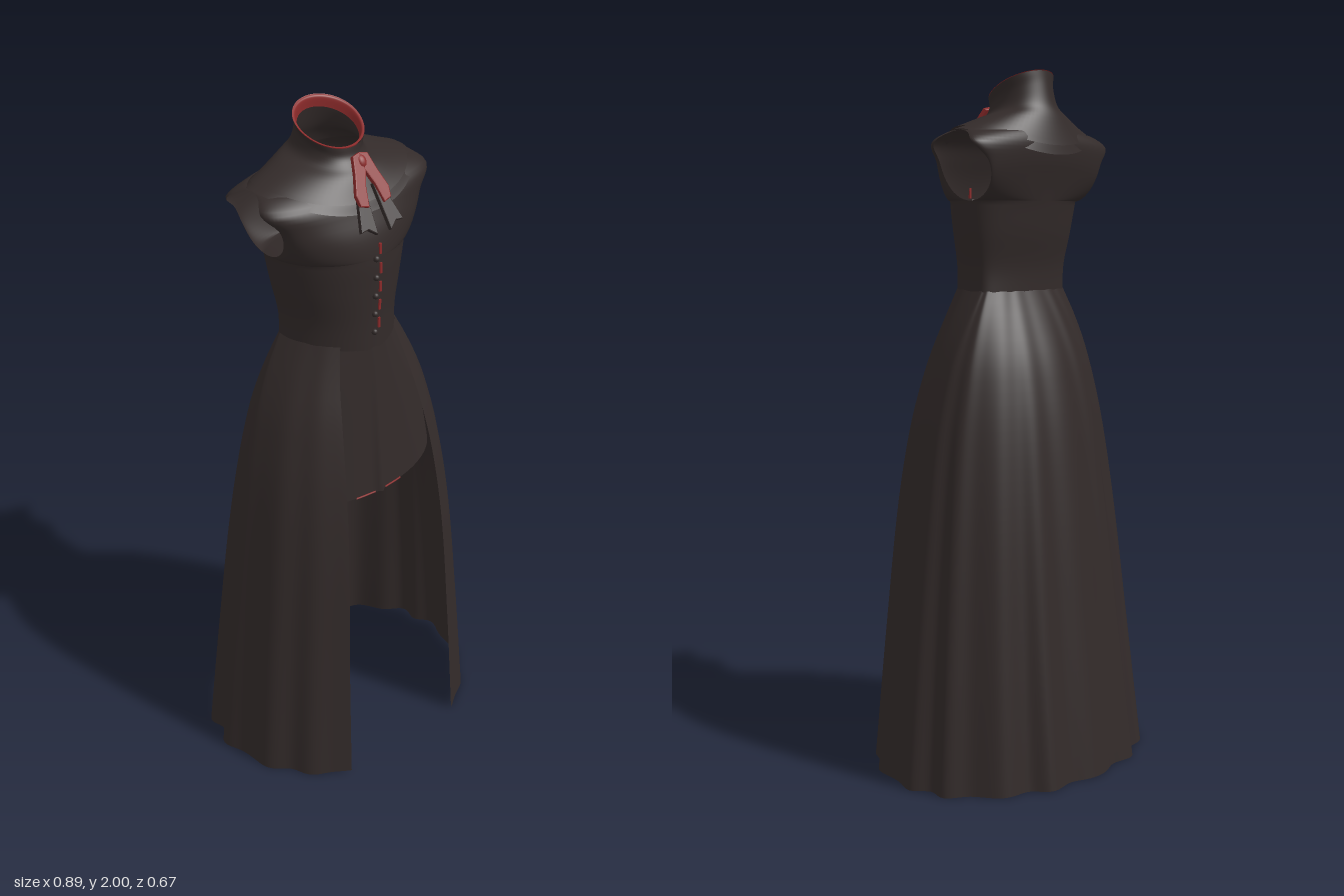
import * as THREE from 'three';
import { mergeVertices } from 'three/addons/utils/BufferGeometryUtils.js';

const cloth = new THREE.MeshStandardMaterial({ color: 0x322a29, side: THREE.DoubleSide });
cloth.name = 'dark cloth';
const red = new THREE.MeshStandardMaterial({ color: 0x8a2a2a, side: THREE.DoubleSide });
red.name = 'red trim';

// Smooth sheet through a grid of points given by fn(u, v)
function sheet(name, nu, nv, fn, mat) {
  const pos = [], idx = [];
  for (let j = 0; j <= nv; j++)
    for (let i = 0; i <= nu; i++) pos.push(...fn(i / nu, j / nv));
  for (let j = 0; j < nv; j++)
    for (let i = 0; i < nu; i++) {
      const a = j * (nu + 1) + i, b = a + 1, c = a + nu + 1, d = c + 1;
      idx.push(a, b, d, a, d, c);
    }
  let g = new THREE.BufferGeometry();
  g.setAttribute('position', new THREE.Float32BufferAttribute(pos, 3));
  g.setIndex(idx);
  g = mergeVertices(g, 1e-5);
  g.computeVertexNormals();
  const m = new THREE.Mesh(g, mat);
  m.name = name;
  return m;
}

// Smooth interpolation of rows [key, value, value, ...]
function profile(rows) {
  const n = rows[0].length - 1;
  const f = new THREE.CubicInterpolant(
    rows.map(r => r[0]), rows.flatMap(r => r.slice(1)), n, new Float32Array(n));
  return k => Array.from(f.evaluate(k));
}

// Oval cross-section, angle 0 at the front; front and back depths differ
function oval(a, rx, zf, zb, cz) {
  const c = Math.cos(a);
  return [rx * Math.sin(a), cz + c * (c > 0 ? zf - cz : cz - zb)];
}

// y, half width, front z, back z, centre z, angle of the front edge
const skirtAt = profile([
  [0, 0.436, 0.385, -0.328, 0, 0.51],
  [0.4, 0.396, 0.355, -0.28, 0, 0.525],
  [0.8, 0.348, 0.32, -0.235, 0, 0.535],
  [1.0, 0.315, 0.285, -0.207, 0, 0.54],
  [1.1, 0.292, 0.26, -0.187, -0.005, 0.545],
  [1.2, 0.263, 0.23, -0.16, -0.012, 0.55],
  [1.3, 0.22, 0.197, -0.12, -0.022, 0.57],
  [1.39, 0.17, 0.172, -0.077, -0.03, 0.6]]);

// y, half width, front z, back z
const bodiceAt = profile([
  [1.36, 0.172, 0.17, -0.078],
  [1.45, 0.172, 0.169, -0.082],
  [1.55, 0.193, 0.171, -0.105],
  [1.64, 0.21, 0.171, -0.122],
  [1.7, 0.22, 0.161, -0.137],
  [1.75, 0.238, 0.142, -0.151],
  [1.8, 0.279, 0.118, -0.156],
  [1.83, 0.25, 0.088, -0.15]]);

// Front or back half of the bodice; its side edge follows the round armhole
function bodiceHalf(name, front) {
  return sheet(name, 40, 44, (u, v) => {
    const k = (v - 0.5) * 2 * Math.PI;
    const y = v < 0.5 ? 1.36 + 0.56 * v : 1.735 - 0.095 * Math.cos(k);
    const gap = v < 0.5 ? 0 : 0.095 * Math.sin(k);
    const [rx, zf, zb] = bodiceAt(y);
    const a = (u - 0.5) * Math.PI;
    const edge = -0.03 + (front ? gap : -gap);
    const end = front ? zf : zb;
    return [rx * Math.sin(a), y, edge + (end - edge) * Math.cos(a)];
  }, cloth);
}

// Tilted collar rings: key, y, half width, front z, back z, tilt, dip at front and back
function collar(name, rows, mat) {
  const at = profile(rows);
  return sheet(name, 72, 20, (u, v) => {
    const [y, rx, zf, zb, tilt, dip] = at(v * (rows.length - 1));
    const a = (u - 0.5) * 2 * Math.PI;
    const [x, z] = oval(a, rx, zf, zb, -0.03);
    return [x, y - tilt * (z + 0.03) - dip * Math.cos(a) ** 2, z];
  }, mat);
}

// Thin flat ribbon cut from an outline
function ribbon(name, pts, mat, z) {
  const s = new THREE.Shape(pts.map(p => new THREE.Vector2(...p)));
  const g = new THREE.ExtrudeGeometry(s, {
    depth: 0.008, bevelEnabled: true, bevelSize: 0.003, bevelThickness: 0.003, bevelSegments: 2 });
  const m = new THREE.Mesh(g, mat);
  m.name = name;
  m.position.z = z;
  return m;
}

export function createModel() {
  const dress = new THREE.Group();
  dress.name = 'dress';

  // Long pleated skirt, open at the front
  dress.add(sheet('longSkirt', 192, 40, (u, v) => {
    const y = 1.39 * (1 - v);
    const [rx, zf, zb, cz, edge] = skirtAt(y);
    const a = edge + u * 2 * (Math.PI - edge);
    const fade = Math.sin(Math.PI * u) ** 0.5;
    const fold = 1 + (0.006 + 0.026 * v) * fade * (Math.cos(16 * a) + 0.3 * Math.cos(23 * a));
    const [x, z] = oval(a, rx, zf, zb, cz);
    return [x * fold, y, z * fold];
  }, cloth));

  // Short front panel under the skirt, with a slight ridge down the middle
  const panelPoint = (a, v) => {
    const y = 1.39 - 0.48 * v;
    const [rx] = skirtAt(y);
    const [x, z] = oval(a, rx * 0.975, 0.168 + 0.035 * v, -0.1, -0.03 * (1 - v));
    return [x, y, z + 0.014 * v * Math.exp(-((x / 0.012) ** 2))];
  };
  dress.add(sheet('frontPanel', 96, 20, (u, v) => panelPoint((u - 0.5) * Math.PI, v), cloth));

  // Red piping on the panel hem
  for (const s of [-1, 1]) {
    const path = new THREE.CatmullRomCurve3([0.06, 0.12, 0.18, 0.26].map(a =>
      new THREE.Vector3(...panelPoint(s * a, 1))));
    const hem = new THREE.Mesh(new THREE.TubeGeometry(path, 12, 0.003, 6), red);
    hem.name = 'hemPiping';
    dress.add(hem);
  }

  dress.add(bodiceHalf('bodiceFront', true), bodiceHalf('bodiceBack', false));

  // Standing neck flowing into the shoulder cape
  dress.add(collar('neckAndCape', [
    [0, 1.959, 0.098, 0.062, -0.112, 0.5, 0],
    [1, 1.928, 0.087, 0.068, -0.119, 0.4, 0],
    [2, 1.89, 0.1, 0.086, -0.131, 0.2, 0],
    [3, 1.872, 0.15, 0.108, -0.147, 0.1, 0.015],
    [4, 1.843, 0.235, 0.142, -0.167, 0, 0.05]], cloth));
  dress.add(collar('lowerCape', [
    [0, 1.862, 0.15, 0.1, -0.143, 0.1, 0.018],
    [1, 1.849, 0.2, 0.13, -0.158, 0.04, 0.04],
    [2, 1.833, 0.252, 0.152, -0.168, 0, 0.066]], cloth));
  dress.add(collar('neckLining', [
    [0, 1.961, 0.098, 0.062, -0.112, 0.5, 0],
    [1, 1.957, 0.09, 0.054, -0.105, 0.5, 0],
    [2, 1.935, 0.083, 0.05, -0.106, 0.45, 0]], red));

  // Bow at the throat: red loops over dark tails
  const bow = new THREE.Group();
  bow.name = 'bow';
  bow.position.set(0, 1.895, 0.085);
  bow.rotation.x = -0.55;
  for (const s of [-1, 1]) {
    const flip = pts => pts.map(([x, y]) => [s * x, y]);
    bow.add(ribbon('bowRibbon', flip([
      [0.002, 0.005], [0.022, 0], [0.034, -0.045], [0.052, -0.095], [0.048, -0.122],
      [0.028, -0.128], [0.018, -0.08], [0.002, -0.04]]), red, 0.008));
    bow.add(ribbon('bowTail', flip([
      [0.016, -0.08], [0.04, -0.09], [0.068, -0.185], [0.046, -0.182], [0.024, -0.2]]), cloth, 0));
  }
  const knot = new THREE.Mesh(new THREE.SphereGeometry(0.015, 16, 12), red);
  knot.name = 'bowKnot';
  knot.scale.set(1, 1.3, 0.8);
  knot.position.set(0, -0.015, 0.012);
  bow.add(knot);
  dress.add(bow);

  // Buttons and red edging down the bodice front
  for (let i = 0; i < 5; i++) {
    const y = 1.42 + i * 0.055, z = bodiceAt(y)[1];
    const button = new THREE.Mesh(new THREE.SphereGeometry(0.009, 12, 8), cloth);
    button.name = 'button';
    button.position.set(-0.004, y, z + 0.002);
    const edging = new THREE.Mesh(new THREE.BoxGeometry(0.007, 0.03, 0.008), red);
    edging.name = 'frontEdging';
    edging.position.set(0.012, y + 0.024, bodiceAt(y + 0.024)[1]);
    dress.add(button, edging);
  }
  return dress;
}
